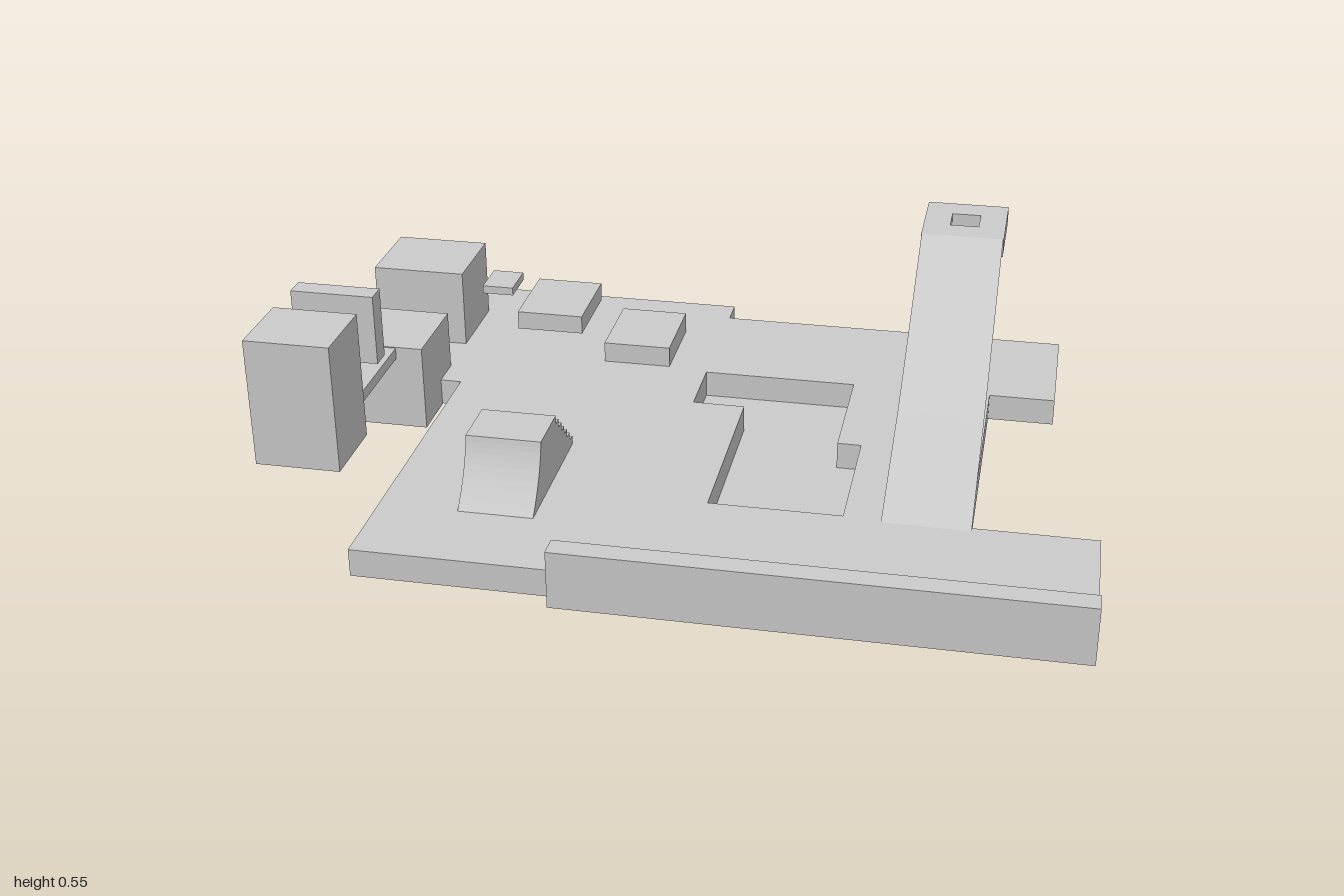
import * as THREE from 'three';

export function createModel() {
  const group = new THREE.Group();
  const material = new THREE.MeshStandardMaterial({ color: 0xcccccc, flatShading: true, side: THREE.DoubleSide });

  function add(name, geometry) {
    const mesh = new THREE.Mesh(geometry, material);
    mesh.name = name;
    group.add(mesh);
    return mesh;
  }

  // Box given by its extents on each axis
  function box(name, x0, x1, y0, y1, z0, z1) {
    add(name, new THREE.BoxGeometry(x1 - x0, y1 - y0, z1 - z0))
      .position.set((x0 + x1) / 2, (y0 + y1) / 2, (z0 + z1) / 2);
  }

  // Horizontal slab from an x/z outline with one hole
  function slab(name, outline, hole, y0, y1) {
    const toPoints = (list) => list.map(([x, z]) => new THREE.Vector2(x, -z));
    const shape = new THREE.Shape(toPoints(outline));
    shape.holes.push(new THREE.Path(toPoints(hole)));
    const geometry = new THREE.ExtrudeGeometry(shape, { depth: y1 - y0, bevelEnabled: false });
    geometry.rotateX(-Math.PI / 2).translate(0, y0, 0);
    add(name, geometry);
  }

  // Ground plate with the sunken area cut through it
  slab('groundPlate',
    [[-1, -0.77], [-0.06, -0.77], [-0.06, -0.69], [0.87, -0.69], [0.87, -0.34], [0.7, -0.34], [0.7, 0.355],
      [1, 0.355], [1, 0.72], [-0.695, 0.72], [-0.695, -0.155], [-1, -0.155]],
    [[-0.06, -0.335], [0.34, -0.335], [0.34, 0], [0.4, 0], [0.4, 0.355], [0.075, 0.355], [0.075, -0.155], [-0.06, -0.155]],
    0.07, 0.14);
  box('pitFloor', -0.1, 0.48, 0, 0.07, -0.335, 0.5);
  box('frontWall', -0.215, 1, 0.07, 0.215, 0.71, 0.765);

  // Course of blocks along the side
  box('tallBlock', -0.99, -0.78, 0.225, 0.55, 0.33, 0.52);
  box('uprightSlab', -0.99, -0.78, 0.365, 0.545, 0.167, 0.22);
  box('narrowBridge', -0.93, -0.82, 0.263, 0.292, -0.02, 0.33);
  box('sideBlock', -1, -0.75, 0.067, 0.295, -0.245, -0.018);

  // Course of blocks along the back
  box('cornerBlock', -1, -0.75, 0.14, 0.35, -0.61, -0.385);
  box('smallPlatform', -0.71, -0.625, 0.273, 0.295, -0.55, -0.44);
  box('middlePlatform', -0.595, -0.415, 0.203, 0.253, -0.61, -0.38);
  box('lowPlatform', -0.345, -0.165, 0.14, 0.195, -0.58, -0.35);

  // Curved slope in front with steps behind, as one z/y profile
  const profile = new THREE.Shape();
  profile.moveTo(0.128, 0.14);
  profile.lineTo(0.505, 0.14);
  profile.quadraticCurveTo(0.425, 0.215, 0.412, 0.295);
  profile.lineTo(0.275, 0.295);
  const steps = 7, run = (0.275 - 0.128) / (steps - 1), rise = 0.155 / steps;
  for (let i = 0; i < steps; i++) {
    const z = 0.275 - i * run;
    profile.lineTo(z, 0.295 - (i + 1) * rise);
    if (i < steps - 1) profile.lineTo(z - run, 0.295 - (i + 1) * rise);
  }
  const slope = new THREE.ExtrudeGeometry(profile, { depth: 0.185, bevelEnabled: false, curveSegments: 12 });
  slope.rotateY(-Math.PI / 2).translate(-0.315, 0, 0);
  add('steppedSlope', slope);

  // Thin ramp sheet rising to the high platform
  const ramp = new THREE.PlaneGeometry(0.212, 1, 1, 3);
  const path = [[-0.45, 0.54], [-0.12, 0.35], [0.04, 0.265], [0.37, 0.141]];
  const position = ramp.attributes.position;
  for (let i = 0; i < position.count; i++) {
    const [z, y] = path[Math.floor(i / 2)];
    position.setXYZ(i, position.getX(i) + 0.597, y, z);
  }
  ramp.computeVertexNormals();
  add('ramp', ramp);

  // High platform with a square hole
  slab('highPlatform',
    [[0.49, -0.68], [0.705, -0.68], [0.705, -0.45], [0.49, -0.45]],
    [[0.56, -0.605], [0.635, -0.605], [0.635, -0.525], [0.56, -0.525]],
    0.49, 0.54);

  return group;
}
